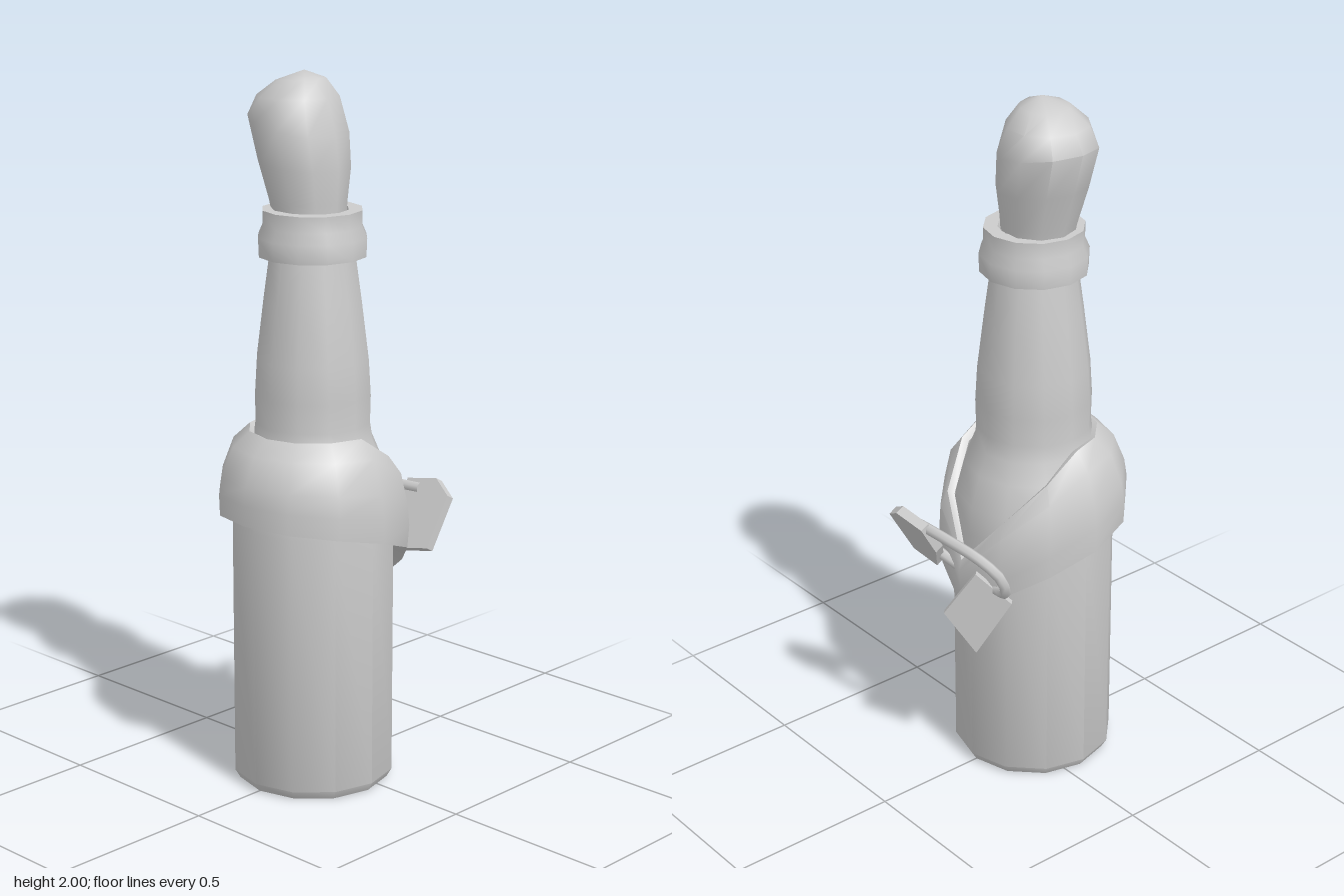
import * as THREE from 'three';
import { toCreasedNormals } from 'three/addons/utils/BufferGeometryUtils.js';

const SIDES = 12;
const AXIS_Z = 0.05; // the bottle stands slightly forward of the knot

// Closed rings of [x, y, z] points, listed bottom to top, joined into a skin
function loft(rings) {
  const n = rings[0].length;
  const index = [];
  for (let i = 0; i < rings.length - 1; i++) {
    for (let j = 0; j < n; j++) {
      const a = i * n + j, b = i * n + (j + 1) % n;
      index.push(a, b, b + n, a, b + n, a + n);
    }
  }
  const geo = new THREE.BufferGeometry();
  geo.setAttribute('position', new THREE.Float32BufferAttribute(rings.flat(2), 3));
  geo.setIndex(index);
  return toCreasedNormals(geo, 0.85);
}

function lathe(points) {
  const profile = points.map(([r, y]) => new THREE.Vector2(r, y));
  return toCreasedNormals(new THREE.LatheGeometry(profile, SIDES), 0.7);
}

// Flat plate with the given outline, centred on its thickness
function plate(corners, depth) {
  const shape = new THREE.Shape(corners.map(([x, y]) => new THREE.Vector2(x, y)));
  return new THREE.ExtrudeGeometry(shape, { depth, bevelEnabled: false }).translate(0, 0, -depth / 2);
}

export function createModel() {
  const group = new THREE.Group();
  const grey = new THREE.MeshStandardMaterial({ color: 0xcccccc });
  const cloth = new THREE.MeshStandardMaterial({ color: 0xcccccc, side: THREE.DoubleSide });
  const add = (name, geo, material = grey) => {
    const mesh = new THREE.Mesh(geo, material);
    mesh.name = name;
    group.add(mesh);
    return mesh;
  };

  // Bottle body, shoulder and slightly bulging neck
  add('bottle', lathe([
    [0, 0], [0.215, 0], [0.23, 0.025], [0.23, 0.76], [0.222, 0.84], [0.195, 0.93],
    [0.17, 0.99], [0.162, 1.04], [0.164, 1.12], [0.158, 1.22], [0.138, 1.38], [0.12, 1.51],
  ])).position.z = AXIS_Z;

  // Stepped lip
  add('lip', lathe([
    [0.11, 1.5], [0.15, 1.503], [0.152, 1.555], [0.139, 1.585], [0.139, 1.63], [0.1, 1.63], [0.09, 1.6],
  ])).position.z = AXIS_Z;

  // Stopper leaning to one side: left x, left y, right x, right y, half depth
  const stopper = [
    [-0.11, 1.59, 0.09, 1.59, 0.098], [-0.125, 1.65, 0.092, 1.65, 0.105],
    [-0.16, 1.76, 0.098, 1.74, 0.125], [-0.194, 1.88, 0.088, 1.83, 0.135],
    [-0.165, 1.93, 0.058, 1.93, 0.115], [-0.11, 1.97, 0.025, 1.98, 0.07],
    [-0.03, 2, -0.03, 2, 0],
  ];
  add('stopper', loft(stopper.map(([lx, ly, rx, ry, d]) =>
    Array.from({ length: 10 }, (_, j) => {
      const t = (j + 0.5) / 10 * Math.PI * 2;
      const f = (Math.sin(t) / Math.sin(Math.PI / 2) + 1) / 2;
      return [lx + (rx - lx) * f, ly + (ry - ly) * f, AXIS_Z + d * Math.cos(t)];
    }))));

  // Scarf: section from front to back, as lower y, lower r, middle r, upper y, upper r
  const sections = [
    [0.79, 0.265, 0.26, 1.02, 0.18], [0.785, 0.266, 0.26, 1.02, 0.18],
    [0.77, 0.268, 0.26, 1.02, 0.18], [0.74, 0.27, 0.262, 1.02, 0.185],
    [0.69, 0.27, 0.27, 0.95, 0.215], [0.61, 0.262, 0.27, 0.84, 0.245],
    [0.5, 0.25, 0.265, 0.69, 0.262],
  ];
  const scarfRing = (rule) => Array.from({ length: SIDES }, (_, j) => {
    const t = j / SIDES * Math.PI * 2;
    const [r, y] = rule(...sections[Math.min(j, SIDES - j)]);
    return [r * Math.sin(t), y, AXIS_Z + r * Math.cos(t)];
  });
  const mix = THREE.MathUtils.lerp;
  add('scarf', loft([
    scarfRing((y0, r0) => [r0 - 0.04, y0 + 0.005]),
    scarfRing((y0, r0) => [r0, y0]),
    scarfRing((y0, r0, rm, y1) => [mix(r0, rm, 0.5) + 0.005, mix(y0, y1, 0.25)]),
    scarfRing((y0, r0, rm, y1) => [rm, mix(y0, y1, 0.48)]),
    scarfRing((y0, r0, rm, y1, r1) => [mix(rm, r1, 0.5) + 0.008, mix(y0, y1, 0.82)]),
    scarfRing((y0, r0, rm, y1, r1) => [r1, y1]),
    scarfRing((y0, r0, rm, y1, r1) => [r1 - 0.02, y1 - 0.01]),
  ]), cloth);

  // Narrow loop of the knot, leaning away from the bottle
  const loopPath = new THREE.CatmullRomCurve3([
    [0.1, 0.79, -0.285], [-0.03, 0.785, -0.275], [-0.14, 0.765, -0.255], [-0.187, 0.72, -0.225],
    [-0.18, 0.66, -0.2], [-0.12, 0.635, -0.18], [0, 0.645, -0.19], [0.11, 0.67, -0.21],
  ].map((p) => new THREE.Vector3(...p)));
  add('knotLoop', new THREE.TubeGeometry(loopPath, 20, 0.016, 6, false));

  // Folded end of the knot, in the plane of the loop
  const knotEnd = add('knotEnd', plate([
    [-0.08, 0.09], [-0.08, -0.01], [-0.02, -0.11], [0.075, -0.09], [0.08, 0.07], [0.02, 0.11],
  ], 0.028));
  knotEnd.position.set(0.13, 0.725, -0.255);
  knotEnd.rotation.x = -0.52;

  // Hanging diamond-shaped tail of the scarf
  const tail = add('scarfTail', plate([[0, -0.135], [0.1, 0.03], [0, 0.12], [-0.09, -0.01]], 0.02));
  tail.position.set(-0.075, 0.565, -0.22);
  tail.rotation.y = Math.PI * 1.25;

  return group;
}
